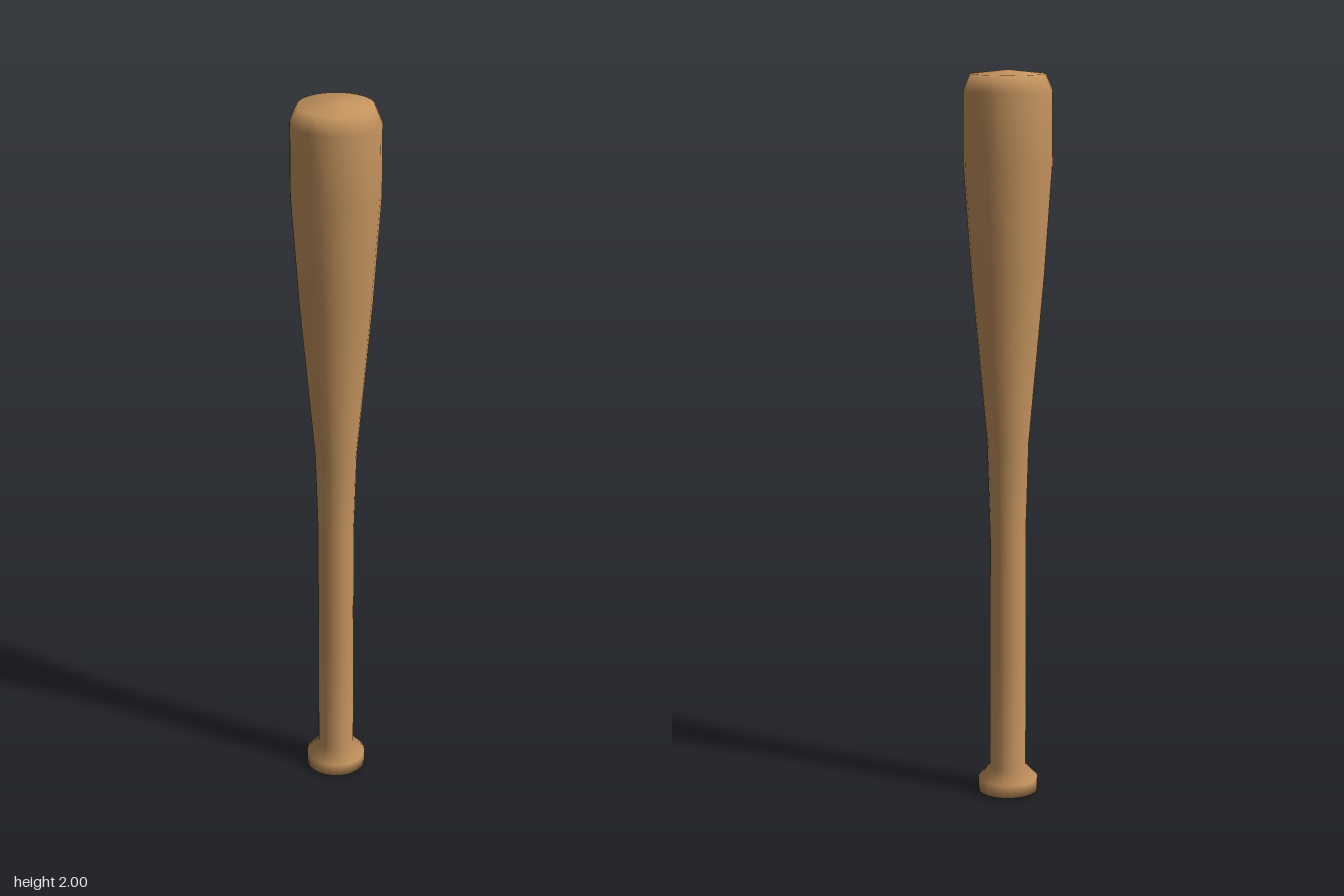
import * as THREE from 'three';

export function createModel() {
  const group = new THREE.Group();
  group.name = 'baseballBat';
  const wood = new THREE.MeshStandardMaterial({ color: 0xc4935e });
  wood.name = 'wood';

  // Radius and height from the knob's underside to the barrel tip
  const profile = [
    [0, 0], [0.083, 0.006], [0.083, 0.042], // knob
    [0.05, 0.078], [0.05, 0.4], [0.05, 0.77], // handle
    [0.057, 1.0], [0.098, 1.45], // taper
    [0.119, 1.75], [0.119, 1.945], // barrel
    [0.1, 1.99], [0, 2], // rounded tip
  ].map(([r, y]) => new THREE.Vector2(r, y));

  // One smooth turned piece
  const body = new THREE.Mesh(new THREE.LatheGeometry(profile, 24), wood);
  body.name = 'turnedBody';
  group.add(body);
  return group;
}
